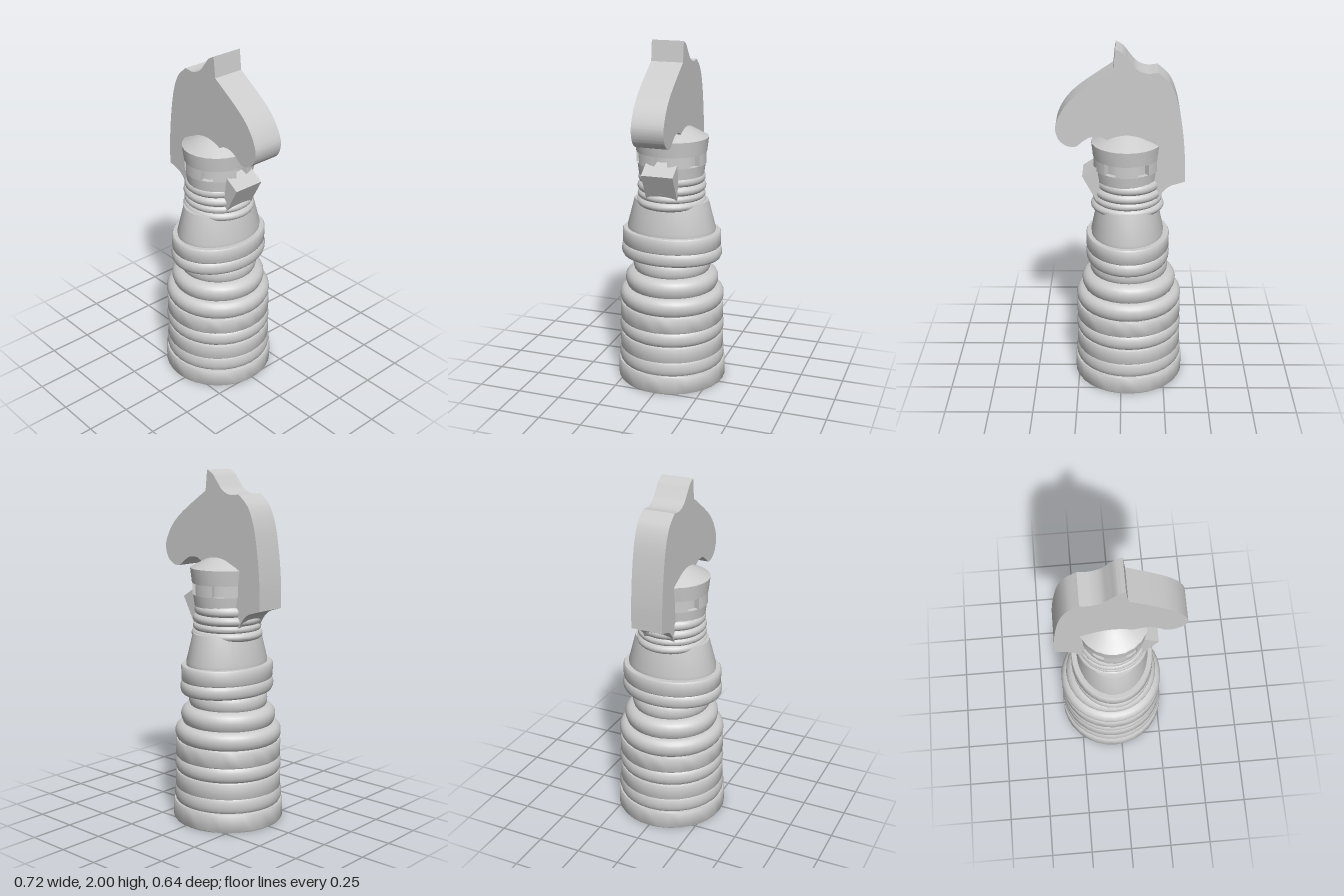
import * as THREE from 'three';
import { toCreasedNormals } from 'three/addons/utils/BufferGeometryUtils.js';

const material = new THREE.MeshStandardMaterial({ color: 0xcccccc, side: THREE.DoubleSide });
const CX = -0.045; // axis of the stacked column

export function createModel() {
  const group = new THREE.Group();

  const add = (name, geometry, x = 0, sx = 1, sz = 1) => {
    const mesh = new THREE.Mesh(toCreasedNormals(geometry, 0.6), material);
    mesh.name = name;
    mesh.position.x = x;
    mesh.scale.set(sx, 1, sz);
    group.add(mesh);
    return mesh;
  };

  // Turned solid from [radius, height] pairs, closed on the axis
  const turned = (name, profile, x = CX, sx = 1, sz = 1, sides = 32) => {
    const pts = [[0, profile[0][1]], ...profile, [0, profile[profile.length - 1][1]]];
    return add(name, new THREE.LatheGeometry(pts.map(([r, y]) => new THREE.Vector2(r, y)), sides), x, sx, sz);
  };

  // Rounded ring profile swelling from rb (bottom) and rt (top) out to r
  const bulge = (y0, y1, r, rb, rt) => {
    const pts = [];
    for (let i = 0; i <= 10; i++) {
      const t = i / 10;
      const base = rb + (rt - rb) * t;
      const y = (y0 + y1) / 2 - Math.cos(t * Math.PI) * (y1 - y0) / 2;
      pts.push([base + (r - base) * Math.sin(t * Math.PI), y]);
    }
    return pts;
  };
  const band = (y0, y1, r) => [[r - 0.005, y0], [r, y0 + 0.008], [r, y1 - 0.008], [r - 0.005, y1]];

  // Lower column: alternating bands and rounded rings
  turned('base', band(0, 0.11, 0.318));
  turned('baseRing', bulge(0.1, 0.2, 0.312, 0.285, 0.295));
  turned('lowerBand', band(0.185, 0.285, 0.305));
  turned('lowerRing', bulge(0.28, 0.375, 0.308, 0.28, 0.28));
  turned('middleBand', band(0.37, 0.47, 0.304));
  turned('middleRing', bulge(0.465, 0.57, 0.306, 0.28, 0.255));
  turned('shoulderRing', bulge(0.56, 0.675, 0.272, 0.25, 0.2));
  turned('waistRing', bulge(0.66, 0.755, 0.226, 0.2, 0.2));

  // Upper column, wider front to back than side to side
  turned('collarRing', bulge(0.75, 0.83, 0.24, 0.225, 0.215), -0.038, 1, 1.24);
  turned('collarBand', band(0.825, 0.915, 0.238), -0.038, 1, 1.22);
  turned('neckCone', [[0.205, 0.91], [0.206, 0.935], [0.172, 1.095]], -0.036, 1, 1.26);
  turned('neckRing0', bulge(1.06, 1.115, 0.207, 0.17, 0.17), -0.036, 1, 0.96);
  turned('neckRing1', bulge(1.105, 1.155, 0.195, 0.165, 0.165), -0.036);
  turned('neckRing2', bulge(1.145, 1.205, 0.197, 0.165, 0.16), -0.04);
  turned('neckRing3', bulge(1.195, 1.255, 0.186, 0.155, 0.165), -0.042, 1, 1.04);

  // Tower: core, solid lower and upper walls, pierced band between them
  const TX = -0.032, TZ = 1.07;
  turned('towerCore', [[0.155, 1.24], [0.155, 1.44]], TX, 1, TZ, 24);
  turned('towerLowerWall', [[0.175, 1.245], [0.183, 1.31]], TX, 1, TZ, 24);
  turned('towerUpperWall', [[0.189, 1.375], [0.199, 1.46], [0.196, 1.462]], TX, 1, TZ, 24);
  const gap = 0.38;
  for (let i = 0; i < 6; i++) {
    const a0 = i * Math.PI / 3 + gap / 2, a1 = (i + 1) * Math.PI / 3 - gap / 2;
    const shape = new THREE.Shape();
    shape.absarc(0, 0, 0.187, a0, a1, false);
    shape.absarc(0, 0, 0.15, a1, a0, true);
    const wall = new THREE.ExtrudeGeometry(shape, { depth: 0.065, bevelEnabled: false, curveSegments: 6 });
    wall.rotateX(-Math.PI / 2).translate(0, 1.31, 0);
    add('towerMerlon' + i, wall, TX, 1, TZ);
  }
  turned('towerRoof', [[0.197, 1.46], [0.11, 1.51], [0.05, 1.537], [0.012, 1.548],
    [0.016, 1.562], [0.011, 1.572]], TX, 1, TZ, 24);

  // Horse head slab
  const head = new THREE.Shape();
  head.moveTo(-0.355, 1.25);
  head.splineThru([[-0.351, 1.4], [-0.335, 1.56], [-0.307, 1.71], [-0.265, 1.81], [-0.2, 1.872]]
    .map(p => new THREE.Vector2(...p)));
  head.splineThru([[-0.14, 1.868], [-0.085, 1.89], [-0.045, 1.935], [-0.01, 1.978], [0.03, 2.0]]
    .map(p => new THREE.Vector2(...p)));
  head.lineTo(0.042, 1.885);
  head.splineThru([[0.19, 1.785], [0.27, 1.72], [0.325, 1.65], [0.357, 1.57], [0.342, 1.5],
    [0.3, 1.462], [0.25, 1.455], [0.21, 1.485], [0.165, 1.51], [0.11, 1.512]]
    .map(p => new THREE.Vector2(...p)));
  head.lineTo(0.05, 1.48);
  head.lineTo(0.07, 1.37);
  // Chest point and lower neck
  head.lineTo(0.13, 1.335);
  head.lineTo(0.215, 1.28);
  head.lineTo(0.135, 1.13);
  head.lineTo(0.05, 1.11);
  head.lineTo(-0.2, 1.13);
  head.quadraticCurveTo(-0.24, 1.22, -0.295, 1.232);
  head.closePath();
  const slab = new THREE.ExtrudeGeometry(head, { depth: 0.184, bevelEnabled: false, curveSegments: 12 });
  add('horseHead', slab.translate(0, 0, -0.092));

  return group;
}
